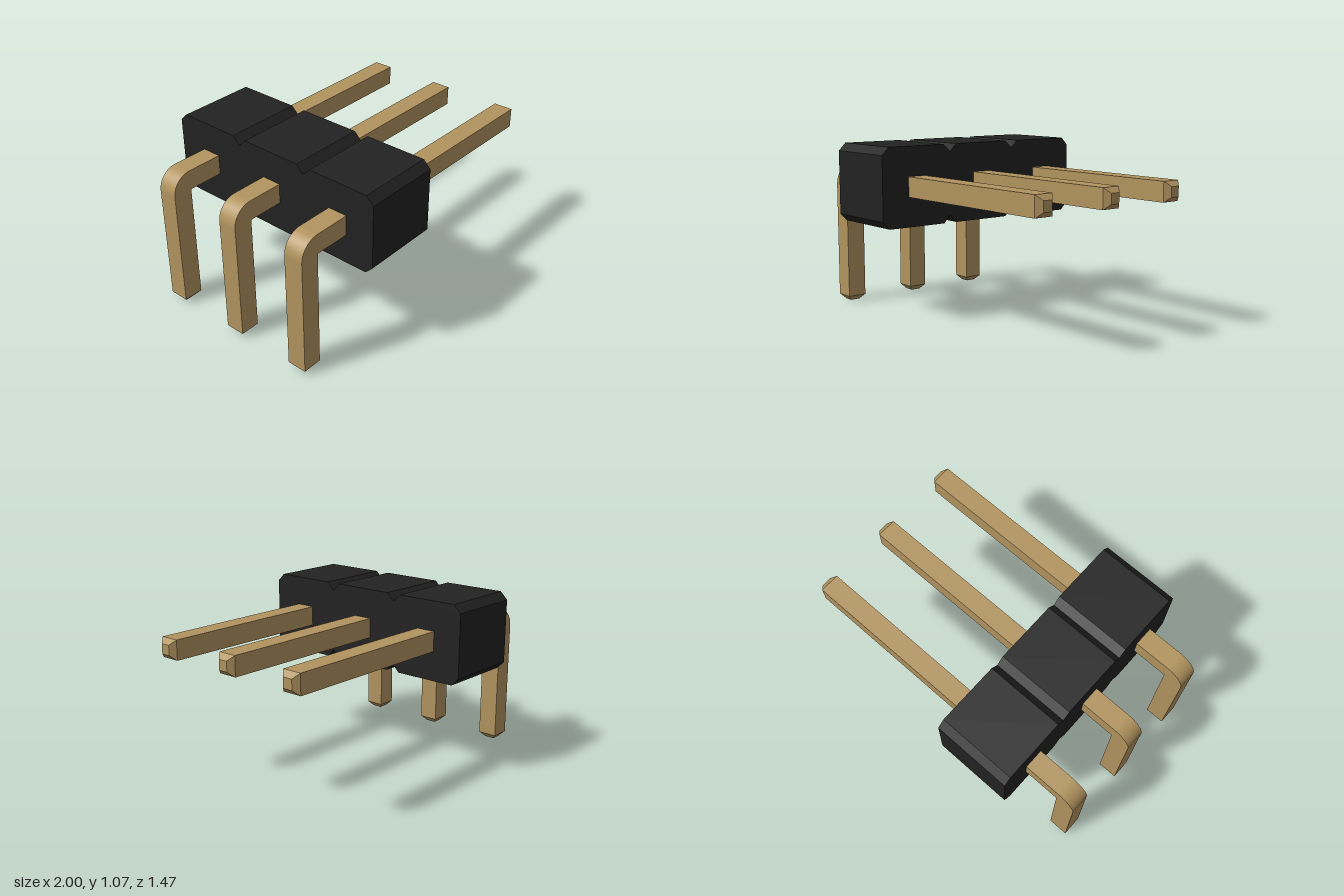
import * as THREE from 'three';
import { toCreasedNormals } from 'three/addons/utils/BufferGeometryUtils.js';

const PITCH = 0.49, COUNT = 3;
const PIN = 0.123, TAPER = 0.033, TIP = 0.062; // pin width, tip length, tip end width
const PIN_BOTTOM = 0.765, PIN_TOP = PIN_BOTTOM + PIN;

const gold = new THREE.MeshStandardMaterial({ color: 0xb2945f });
gold.name = 'gold';
const black = new THREE.MeshStandardMaterial({ color: 0x222222 });
black.name = 'black plastic';

// Chamfered housing outline, notched between the pin positions
function housingGeometry() {
  const y0 = 0.583, y1 = 1.07, c = 0.047, half = PITCH / 2;
  const top = [], bottom = [];
  for (let i = 0; i < COUNT; i++) {
    const z = (i - (COUNT - 1) / 2) * PITCH;
    if (i === 0) {
      top.push([z - half, y1 - c]);
      bottom.push([z - half, y0 + c]);
    }
    top.push([z - half + c, y1], [z + half - c, y1], [z + half, y1 - c]);
    bottom.push([z - half + c, y0], [z + half - c, y0], [z + half, y0 + c]);
  }
  const outline = [...bottom, ...top.reverse()].map(([x, y]) => new THREE.Vector2(x, y));
  const geo = new THREE.ExtrudeGeometry(new THREE.Shape(outline), { depth: 0.49, bevelEnabled: false });
  return geo.rotateY(Math.PI / 2).translate(-0.65, 0, 0);
}

// Bent square bar, rounded only on the outside of the elbow
function barGeometry() {
  const s = new THREE.Shape();
  s.moveTo(-1, TAPER);
  s.lineTo(-1 + PIN, TAPER);
  s.lineTo(-1 + PIN, PIN_BOTTOM);
  s.lineTo(1 - TAPER, PIN_BOTTOM);
  s.lineTo(1 - TAPER, PIN_TOP);
  s.lineTo(-1 + PIN, PIN_TOP);
  s.absarc(-1 + PIN, PIN_BOTTOM, PIN, Math.PI / 2, Math.PI, false);
  s.closePath();
  const geo = new THREE.ExtrudeGeometry(s, { depth: PIN, bevelEnabled: false, curveSegments: 12 });
  return toCreasedNormals(geo.translate(0, 0, -PIN / 2), 0.5);
}

// Square frustum, pointing up
function tipGeometry() {
  const geo = new THREE.CylinderGeometry(TIP / Math.SQRT2, PIN / Math.SQRT2, TAPER, 4, 1);
  return toCreasedNormals(geo.rotateY(Math.PI / 4), 0.3);
}

export function createModel() {
  const model = new THREE.Group();
  model.name = 'rightAnglePinHeader';

  const add = (parent, name, geo, mat) => {
    const mesh = new THREE.Mesh(geo, mat);
    mesh.name = name;
    parent.add(mesh);
    return mesh;
  };

  add(model, 'housing', housingGeometry(), black);

  const bar = barGeometry();
  const frontTip = tipGeometry().rotateZ(-Math.PI / 2)
    .translate(1 - TAPER / 2, PIN_BOTTOM + PIN / 2, 0);
  const solderTip = tipGeometry().rotateX(Math.PI)
    .translate(-1 + PIN / 2, TAPER / 2, 0);

  for (let i = 0; i < COUNT; i++) {
    const pin = new THREE.Group();
    pin.name = `pin${i + 1}`;
    pin.position.z = (i - (COUNT - 1) / 2) * PITCH;
    add(pin, 'bentBar', bar, gold);
    add(pin, 'matingTip', frontTip, gold);
    add(pin, 'solderTip', solderTip, gold);
    model.add(pin);
  }
  return model;
}
